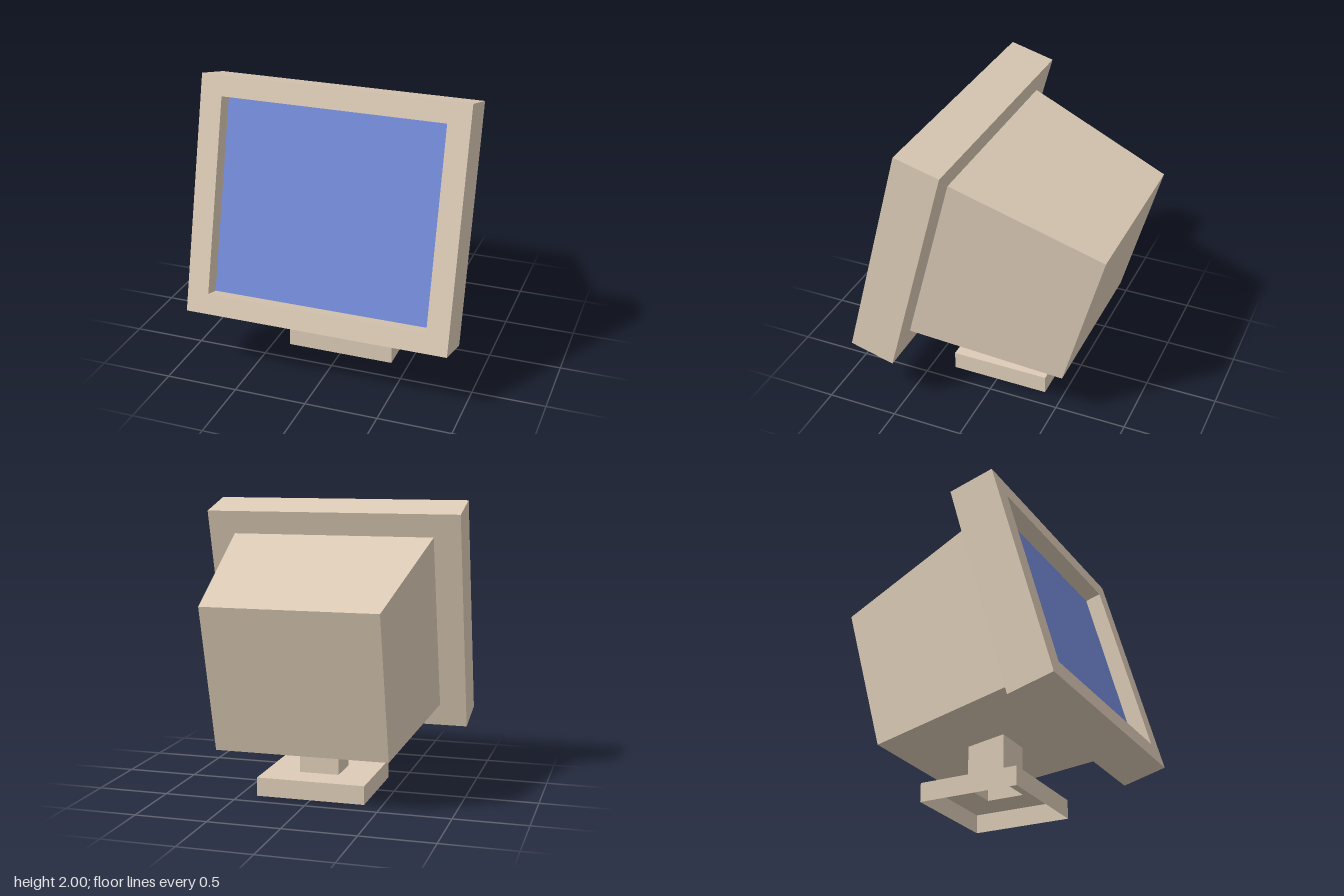
import * as THREE from 'three';

// Skin a series of rectangles [halfWidth, halfHeight, z] with flat walls
function rectLoft(rects) {
  const corners = [[-1, -1], [1, -1], [1, 1], [-1, 1]];
  const point = ([w, h, z], i) => [corners[i % 4][0] * w, corners[i % 4][1] * h, z];
  const positions = [];
  for (let r = 0; r < rects.length - 1; r++) {
    for (let i = 0; i < 4; i++) {
      const a = point(rects[r], i), b = point(rects[r], i + 1);
      const c = point(rects[r + 1], i + 1), d = point(rects[r + 1], i);
      positions.push(...a, ...b, ...c, ...a, ...c, ...d);
    }
  }
  const geometry = new THREE.BufferGeometry();
  geometry.setAttribute('position', new THREE.Float32BufferAttribute(positions, 3));
  geometry.computeVertexNormals();
  return geometry;
}

export function createModel() {
  const beige = new THREE.MeshStandardMaterial({ color: 0xdccbb6, side: THREE.DoubleSide });
  beige.name = 'beige plastic';
  const blue = new THREE.MeshStandardMaterial({ color: 0x748cda });
  blue.name = 'blue screen';

  const model = new THREE.Group();
  model.name = 'monitor';
  const add = (parent, name, geometry, material) => {
    const mesh = new THREE.Mesh(geometry, material);
    mesh.name = name;
    parent.add(mesh);
    return mesh;
  };

  // Head, leaning back about the centre of its front face
  const head = new THREE.Group();
  head.name = 'head';
  head.position.set(0, 1.225, 0.64);
  head.rotation.x = THREE.MathUtils.degToRad(-15);
  model.add(head);

  // Bezel: back flange, outer walls, front frame and recess walls
  add(head, 'bezel', rectLoft([
    [0.72, 0.637, -0.32], [0.91, 0.803, -0.32], [0.91, 0.803, 0],
    [0.76, 0.665, 0], [0.76, 0.665, -0.115],
  ]), beige);

  // Screen at the bottom of the recess
  add(head, 'screen', new THREE.PlaneGeometry(1.52, 1.33), blue).position.z = -0.115;

  // Tapered housing with its rear panel
  add(head, 'housing', rectLoft([[0.595, 0.52, -1.398], [0.72, 0.637, -0.32]]), beige);
  const rear = add(head, 'rearPanel', new THREE.PlaneGeometry(1.19, 1.04), beige);
  rear.position.z = -1.398;
  rear.rotation.y = Math.PI;

  // Hollow foot and neck, open underneath
  const stand = add(model, 'stand', rectLoft([
    [0.38, 0.35, 0], [0.38, 0.35, 0.13], [0.14, 0.1325, 0.13], [0.14, 0.1325, 0.48],
  ]), beige);
  stand.rotation.x = -Math.PI / 2;
  stand.position.z = -0.02;

  return model;
}
